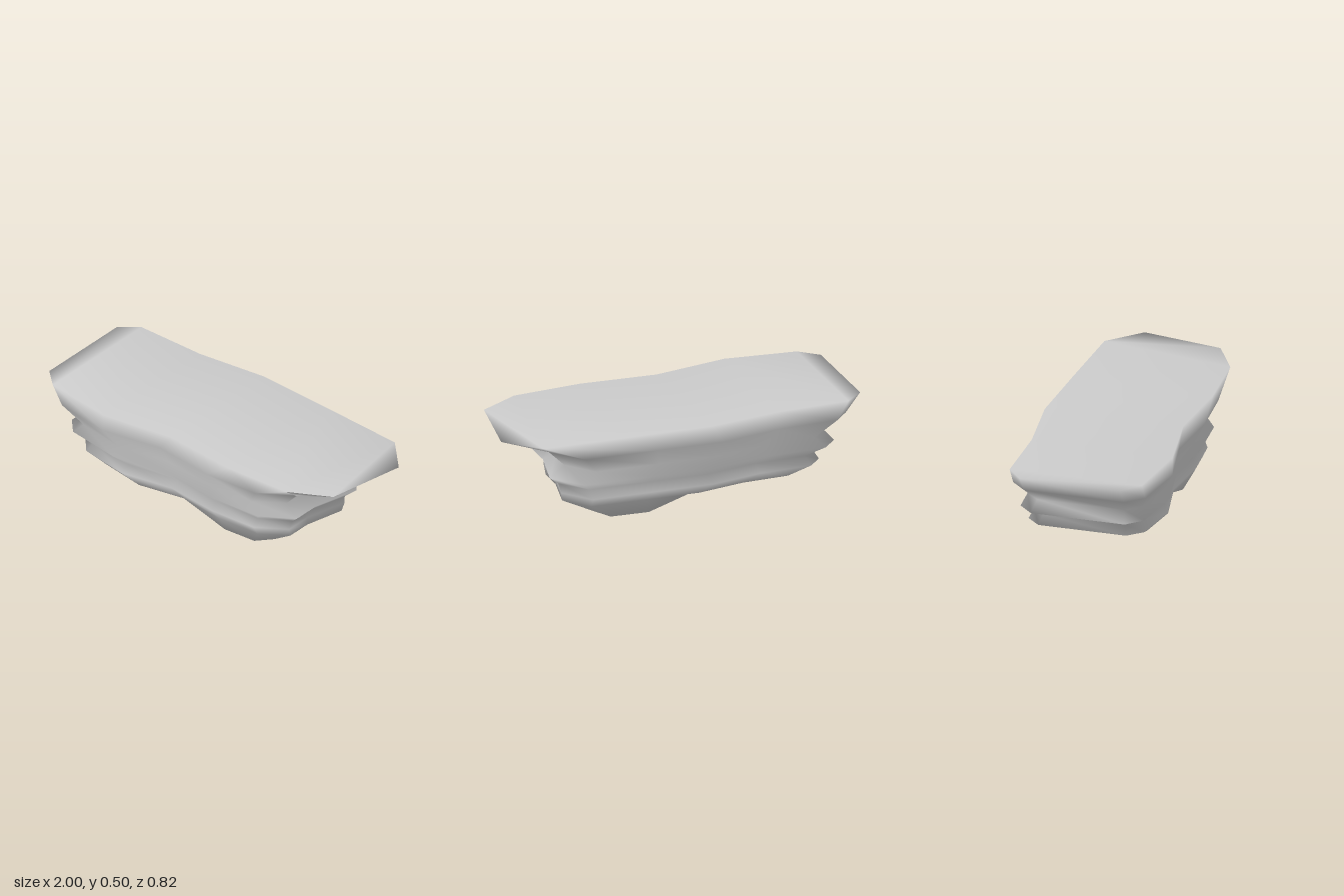
import * as THREE from 'three';

// Plan outline, clockwise from the back left: [rim x, rim z, underside x, underside y]
const OUTLINE = [
  [-1, -0.28, -0.63, 0.095], [-0.9, -0.365, -0.58, 0.095], [-0.5, -0.365, -0.36, 0.095],
  [-0.1, -0.415, -0.1, 0.095], [0.35, -0.395, 0.19, 0], [0.83, -0.37, 0.4, 0], [1, -0.2, 0.46, 0],
  [0.92, 0.07, 0.46, 0],
  [0.92, 0.24, 0.45, 0], [0.7, 0.36, 0.38, 0], [0.32, 0.38, 0.19, 0], [-0.1, 0.345, -0.1, 0.095],
  [-0.51, 0.41, -0.36, 0.095], [-0.9, 0.36, -0.58, 0.095], [-1, 0.27, -0.63, 0.095],
];

// Strata from the rim down: [y, left x, right x, depth scale]
const LAYERS = [
  [0.5, -1, 1, 1], [0.4, -0.92, 0.73, 1], [0.3, -0.8, 0.63, 0.87], [0.245, -0.86, 0.72, 0.935],
  [0.195, -0.75, 0.66, 0.81], [0.145, -0.78, 0.65, 0.875], [0.097, -0.65, 0.64, 0.81],
];

function rockGeometry() {
  const n = OUTLINE.length, pos = [], index = [];
  for (const [y, left, right, depth] of LAYERS) {
    for (const [x, z] of OUTLINE) {
      pos.push(THREE.MathUtils.mapLinear(x, -1, 1, left, right), y, z * depth);
    }
  }
  // Underside ring, dropping into a keel on the right
  for (const [, z, x, y] of OUTLINE) pos.push(x, y, z * 0.67);

  // Stepped walls
  for (let r = 0; r < LAYERS.length; r++) {
    for (let j = 0; j < n; j++) {
      const k = (j + 1) % n, t = r * n, b = t + n;
      index.push(t + k, b + k, b + j, t + k, b + j, t + j);
    }
  }
  // Flat top and underside, bridged from back edge to front edge
  const cap = (base, up) => {
    const tri = (a, b, c) => index.push(base + a, base + (up ? b : c), base + (up ? c : b));
    for (let i = 0; i < 6; i++) {
      const f = n - 1 - i;
      tri(i, f, f - 1);
      tri(i, f - 1, i + 1);
    }
    tri(6, 8, 7);
  };
  cap(0, true);
  cap(LAYERS.length * n, false);

  const geo = new THREE.BufferGeometry();
  geo.setAttribute('position', new THREE.Float32BufferAttribute(pos, 3));
  geo.setIndex(index);
  geo.computeVertexNormals();
  return geo;
}

export function createModel() {
  const group = new THREE.Group();
  group.name = 'rockPlatform';
  const rock = new THREE.Mesh(rockGeometry(), new THREE.MeshStandardMaterial({ color: 0xcccccc }));
  rock.name = 'layeredRock';
  group.add(rock);
  return group;
}
